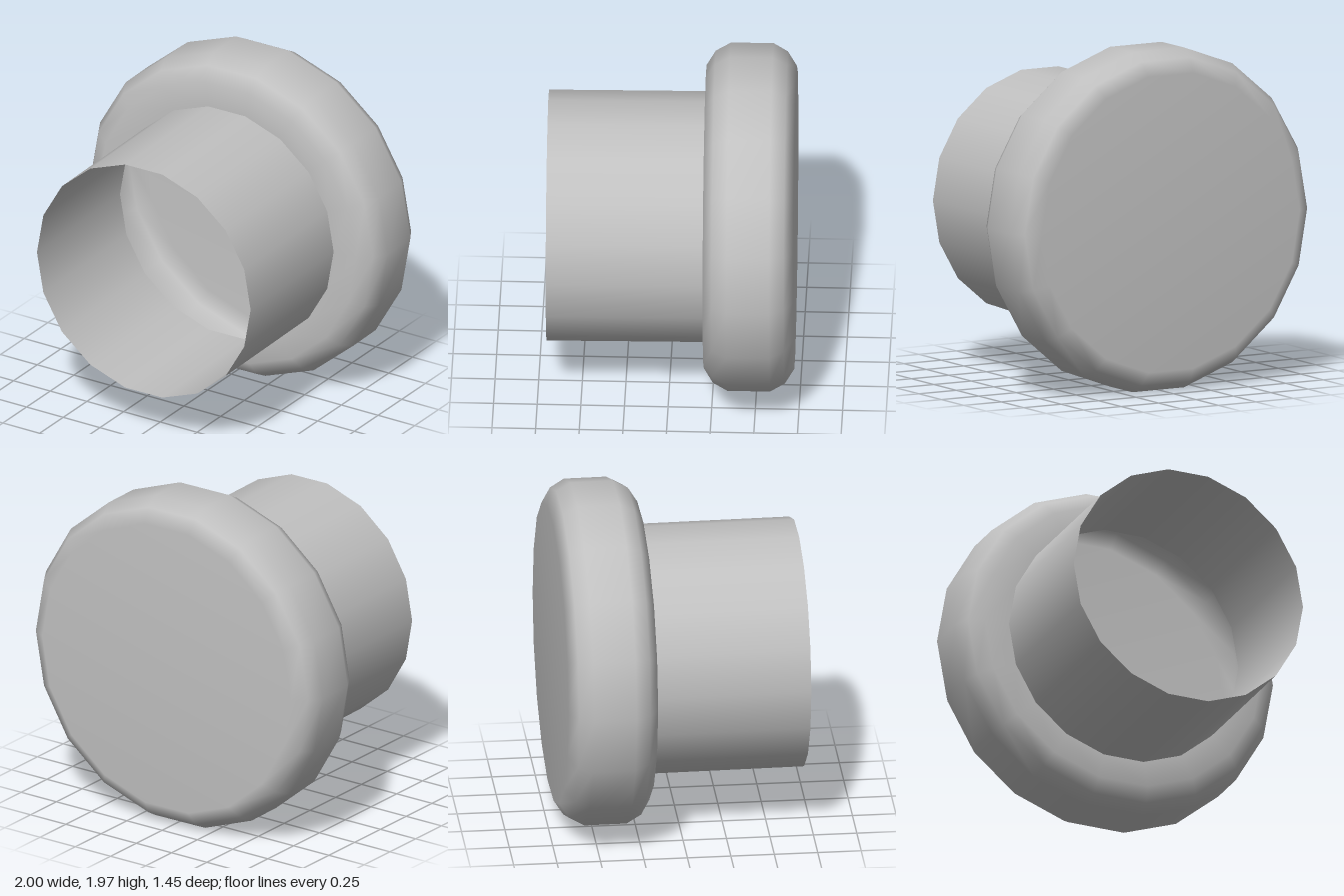
import * as THREE from 'three';

const SIDES = 18;

// Revolves [radius, z] pairs around the z axis, with a corner on the x axis
function revolve(name, profile, material) {
  const points = profile.map(([r, z]) => new THREE.Vector2(r, z));
  const geometry = new THREE.LatheGeometry(points, SIDES, Math.PI / 2);
  geometry.rotateX(Math.PI / 2);
  const mesh = new THREE.Mesh(geometry, material);
  mesh.name = name;
  return mesh;
}

export function createModel() {
  const grey = new THREE.MeshStandardMaterial({ color: 0xc0c0c0, side: THREE.DoubleSide });
  grey.name = 'plain grey';

  const model = new THREE.Group();
  model.name = 'hollowKnob';

  // Hollow rounded head with a flat back and an opening into the stem
  model.add(revolve('head', [
    [0, -0.713], [0.87, -0.713], [0.953, -0.66], [1, -0.577],
    [1, -0.333], [0.953, -0.247], [0.87, -0.195], [0.72, -0.195],
  ], grey));

  // Thin open stem
  model.add(revolve('stem', [[0.72, -0.195], [0.72, 0.706]], grey));

  // Slight turn about the vertical
  model.rotation.y = 0.0175;
  model.position.set(0.008, 0.985, 0);

  const root = new THREE.Group();
  root.add(model);
  return root;
}
